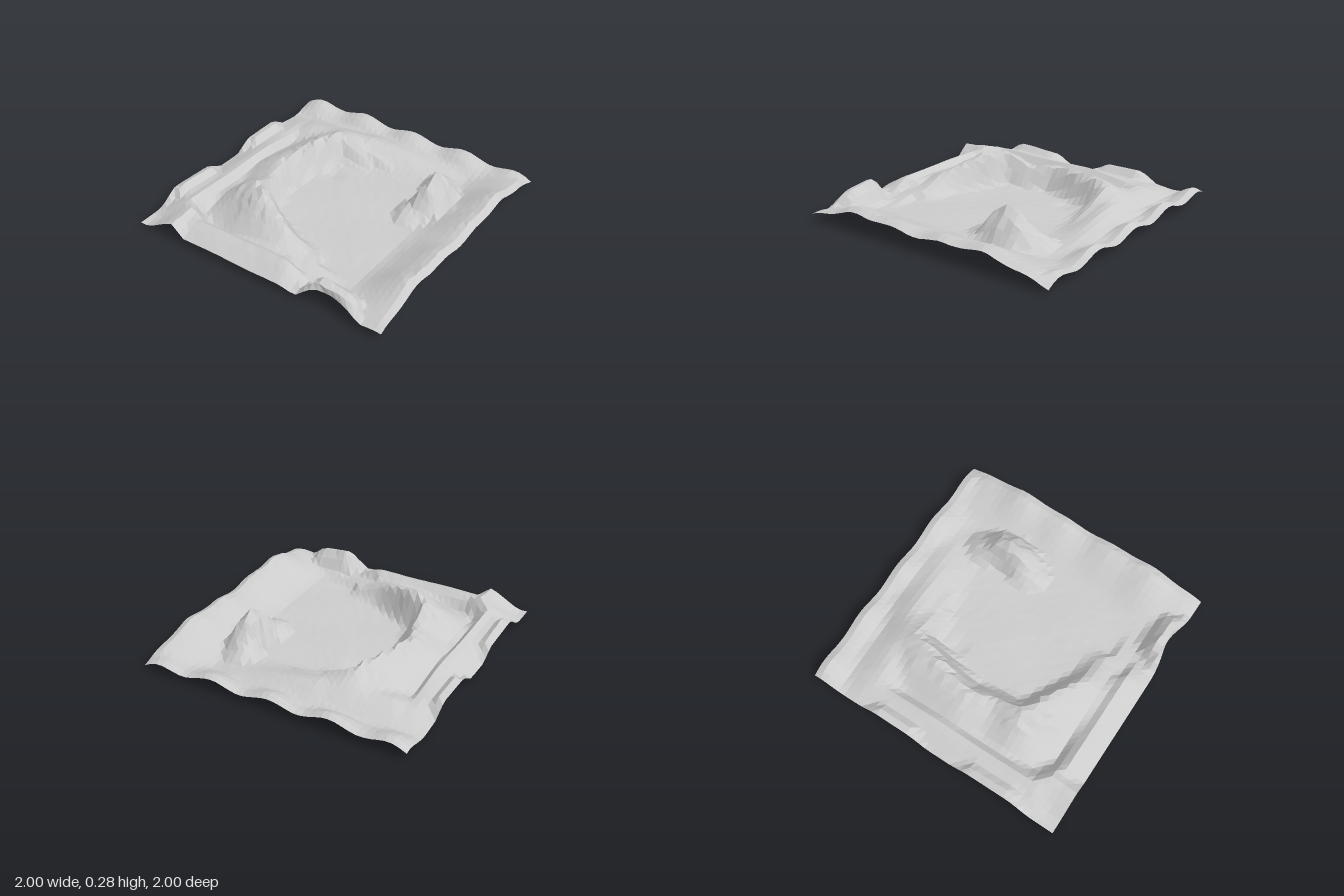
import * as THREE from 'three';

const FLOOR = 0.022;
const CELLS = 40;

// A ridge follows crest points [x, z, height]; a and b are the slope widths on
// either side (a: the side turning from +x towards +z). wave adds to the crest
// height, and a bulge below 1 makes the slopes rounder.
const ridge = (a, b, pts, { wave = () => 0, bulge = 1 } = {}) => ({ a, b, pts, wave, bulge });

// Tall cliff curving round the basin
const cliff = ridge(0.12, 0.36, [
  [-0.64, 0.19, 0.08], [-0.62, 0, 0.16], [-0.47, -0.3, 0.28], [-0.39, -0.45, 0.25],
  [-0.2, -0.46, 0.17], [0, -0.52, 0.2], [0.4, -0.42, 0.22], [0.53, -0.36, 0.2], [0.54, -0.14, 0.1]]);

// Crescent peak standing in the basin
const peak = ridge(0.17, 0.13, [
  [0.17, 0.48, 0.1], [0.26, 0.53, 0.23], [0.35, 0.55, 0.284], [0.45, 0.53, 0.25], [0.55, 0.47, 0.12]],
  { bulge: 0.7 });

// Raised step along the left and back, outside the cliff
const terrace = ridge(0.08, 0.25, [
  [-0.83, 0.16, 0.14], [-0.83, -0.6, 0.13], [-0.73, -0.79, 0.13], [0.2, -0.8, 0.115], [0.6, -0.82, 0.08]]);
const cornerRise = ridge(0.13, 0.25, [[-1, -0.7, 0.14], [-0.8, -0.7, 0.15]]);

// Gentle rise between the basin and the right edge
const shoulder = ridge(0.25, 0.28, [[0.6, -0.7, 0.11], [0.68, -0.2, 0.14], [0.75, 0.35, 0.06]]);

// Waving rims on the front and right borders
const frontRim = ridge(0.22, 0.35, [[-1, 0.95, 0.06], [1, 0.95, 0.05]], {
  wave: (x) => 0.105 * (1 - x ** 4) + 0.02 * Math.cos((x + 0.55) * 6) + 0.012 * Math.cos((x + 0.6) * 17),
});
const rightRim = ridge(0.18, 0.2, [[0.95, -1, 0.11], [0.95, 1, 0.085]], {
  wave: (x, z) => 0.028 * Math.cos((z + 0.45) * 14) - 0.05 * z ** 8,
});

// Small mounds on the back and left borders
const backKnollA = ridge(0.13, 0.2, [[-0.62, -0.95, 0.15], [-0.32, -0.95, 0.13]]);
const backKnollB = ridge(0.12, 0.2, [[0.2, -0.96, 0.13], [0.45, -0.96, 0.13]]);
const leftMound = ridge(0.13, 0.18, [[-0.91, 0.7, 0.17], [-0.91, 0.5, 0.19]], { bulge: 0.8 });

const RIDGES = [
  cliff, peak, terrace, cornerRise, shoulder, frontRim, rightRim, backKnollA, backKnollB, leftMound];

// Repeatable value in -1..1 for a grid point
function noise(i, j) {
  const s = Math.sin(i * 127.1 + j * 311.7) * 43758.5453;
  return (s - Math.floor(s)) * 2 - 1;
}

// Height of one ridge above the floor at a point
function ridgeHeight({ a, b, pts, wave, bulge }, x, z) {
  let best = Infinity, height = 0, side = 1;
  for (let k = 0; k < pts.length - 1; k++) {
    const [x0, z0, h0] = pts[k], [x1, z1, h1] = pts[k + 1];
    const dx = x1 - x0, dz = z1 - z0;
    const t = THREE.MathUtils.clamp(((x - x0) * dx + (z - z0) * dz) / (dx * dx + dz * dz), 0, 1);
    const d = Math.hypot(x - x0 - dx * t, z - z0 - dz * t);
    if (d < best) {
      best = d;
      height = h0 + (h1 - h0) * t;
      side = dx * (z - z0) - dz * (x - x0);
    }
  }
  const f = Math.max(0, 1 - best / (side > 0 ? a : b)) ** bulge;
  const crest = Math.max(0, height + wave(x, z) - FLOOR);
  return crest * (0.5 * f + 0.5 * f * f * (3 - 2 * f));
}

// Ridges blended as a soft maximum over a gently rolling floor with one dip
function terrainHeight(x, z) {
  let sum = 0;
  for (const r of RIDGES) sum += ridgeHeight(r, x, z) ** 5;
  const roll = 0.004 * Math.sin(x * 9 + 1) * Math.cos(z * 8);
  const dip = 0.018 * Math.exp(-((x - 0.28) ** 2 + (z + 0.25) ** 2) / 0.004);
  return FLOOR + sum ** 0.2 + roll - dip;
}

export function createModel() {
  const group = new THREE.Group();
  group.name = 'terrain';

  // Square sheet raised by the ridge rule
  const sheet = new THREE.PlaneGeometry(2, 2, CELLS, CELLS).rotateX(-Math.PI / 2);
  const pos = sheet.attributes.position;
  for (let i = 0; i < pos.count; i++) {
    let x = pos.getX(i), z = pos.getZ(i);
    const y = terrainHeight(x, z);
    const col = i % (CELLS + 1), row = Math.floor(i / (CELLS + 1));
    const border = col === 0 || row === 0 || col === CELLS || row === CELLS;
    const rough = THREE.MathUtils.clamp((y - 0.12) / 0.1, 0, 1);

    // Ragged crests, and a left border drawn in beside the mound
    if (!border) {
      x += noise(col, row) * 0.014 * rough;
      z += noise(row + 50, col) * 0.014 * rough;
    }
    if (col === 0) x += 0.045 * Math.exp(-(((z - 0.58) / 0.15) ** 2));
    const jitter = noise(col + 9, row + 31) * (0.001 + 0.006 * rough);
    pos.setXYZ(i, x, Math.max(0, y + jitter), z);
  }
  const geometry = sheet.toNonIndexed();
  geometry.computeVertexNormals();

  const material = new THREE.MeshStandardMaterial({
    color: 0xcccccc, flatShading: true, side: THREE.DoubleSide,
  });
  const ground = new THREE.Mesh(geometry, material);
  ground.name = 'ground';
  group.add(ground);
  return group;
}
